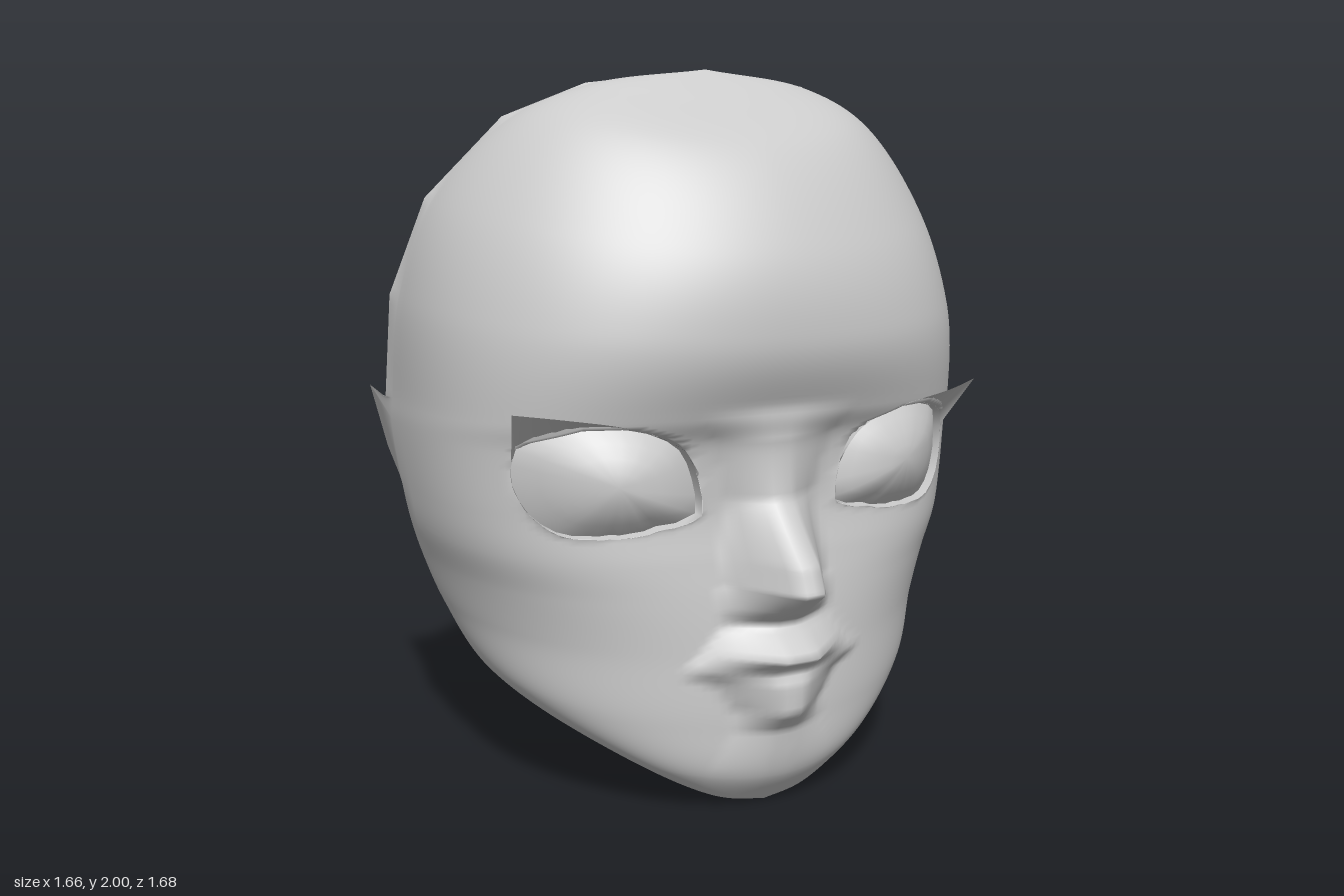
import * as THREE from 'three';
import { mergeVertices } from 'three/addons/utils/BufferGeometryUtils.js';

const V = (x, y, z) => new THREE.Vector3(x, y, z);
const material = new THREE.MeshStandardMaterial({ color: 0xcccccc, side: THREE.DoubleSide });

// Skin a list of cross-sections; keep(a,b,c) may drop triangles to leave a hole
function skin(name, rows, keep = () => true) {
  const n = rows[0].length, index = [];
  const pts = rows.flat();
  const tri = (a, b, c) => { if (keep(pts[a], pts[b], pts[c])) index.push(a, b, c); };
  for (let i = 0; i < rows.length - 1; i++) {
    for (let j = 0; j < n - 1; j++) {
      const a = i * n + j, b = a + 1, c = a + n, d = c + 1;
      tri(a, c, b);
      tri(b, c, d);
    }
  }
  let geo = new THREE.BufferGeometry().setFromPoints(pts);
  geo.setIndex(index);
  geo = mergeVertices(geo, 1e-4);
  geo.computeVertexNormals();
  const mesh = new THREE.Mesh(geo, material);
  mesh.name = name;
  return mesh;
}

// Piecewise linear lookup in rows of [key, value, value...], keys falling
function lookup(table, key, col) {
  for (let i = 0; i < table.length - 1; i++) {
    const a = table[i], b = table[i + 1];
    if (key <= a[0] && key >= b[0]) return a[col] + (b[col] - a[col]) * (a[0] - key) / (a[0] - b[0]);
  }
  return 0;
}

// Point under the skull where the lower facets meet
const pole = [0, 0.08, -0.42];

// Bands of the head: front [squareness, y, z], side point, back edge point
const bands = [
  [[1.9, 2.0, 0.2], [0, 2.0, 0.2], [0, 2.0, 0.2]],
  [[1.9, 1.91, 0.33], [0.335, 1.955, 0.16], [0.34, 1.96, 0.15]],
  [[1.9, 1.78, 0.52], [0.545, 1.86, 0.09], [0.55, 1.87, 0.06]],
  [[2.0, 1.53, 0.67], [0.735, 1.635, -0.01], [0.74, 1.65, -0.05]],
  [[2.3, 1.3, 0.71], [0.815, 1.37, -0.07], [0.825, 1.38, -0.13]],
  [[2.8, 1.1, 0.645], [0.825, 1.09, -0.13], [0.83, 1.08, -0.19]],
  [[3, 1.0, 0.6], [0.825, 1.02, -0.15], [0.82, 1.085, -0.4]],
  [[3, 0.85, 0.59], [0.81, 0.85, -0.12], [0.74, 0.87, -0.52]],
  [[2.8, 0.7, 0.61], [0.793, 0.74, -0.1], [0.57, 0.7, -0.68]],
  [[2.6, 0.6, 0.625], [0.76, 0.63, -0.1], [0.31, 0.6, -0.8]],
  [[2.3, 0.45, 0.64], [0.72, 0.5, -0.03], pole],
  [[2.1, 0.25, 0.65], [0.645, 0.34, 0.13], pole],
  [[2, 0.1, 0.64], [0.4, 0.16, 0.41], pole],
  [[2, 0.02, 0.59], [0.15, 0.03, 0.55], pole],
  [[2, 0, 0.575], [0, 0, 0.574], pole],
];

// Nose, lips and chin: height, forward push, half width
const relief = [
  [1.12, 0, 0.25], [1.03, 0.04, 0.18], [0.87, 0.07, 0.13], [0.72, 0.2, 0.14],
  [0.65, 0.22, 0.15], [0.58, 0.115, 0.17], [0.54, 0.05, 0.16], [0.465, 0.15, 0.22],
  [0.415, 0.07, 0.28], [0.385, 0.09, 0.19], [0.3, 0.085, 0.13], [0.24, 0.03, 0.14],
  [0.13, 0.015, 0.2], [0, 0, 0.2],
];

// Eye outline as radii at 16 even angles, starting at the outer side
const eyeX = 0.44, eyeY = 0.93;
const radii = [0.23, 0.24, 0.184, 0.157, 0.145, 0.15, 0.17, 0.205,
  0.225, 0.255, 0.175, 0.15, 0.14, 0.152, 0.184, 0.21];
function eyeRadius(angle) {
  const f = ((angle / (2 * Math.PI) + 2) % 1) * 16, i = Math.floor(f) % 16;
  return THREE.MathUtils.lerp(radii[i], radii[(i + 1) % 16], f - Math.floor(f));
}
function eyePoint(angle, scale = 1, dz = 0) {
  const r = eyeRadius(angle) * scale;
  const x = eyeX + r * Math.cos(angle), y = eyeY + r * Math.sin(angle);
  return V(x, y, 0.735 * Math.cbrt(1 - Math.pow(x / 0.815, 3)) - 0.14 + dz);
}

function buildHead() {
  const FRONT = 48, SIDE = 8, STEPS = 12;
  const last = bands.length - 1;
  const curve = col => new THREE.CatmullRomCurve3(bands.map(b => V(...b[col])));
  const frontCurve = curve(0), sideCurve = curve(1);
  const rows = [], inside = new Set();
  for (let i = 0; i <= last * STEPS; i++) {
    const t = i / (last * STEPS), k = Math.min(Math.floor(i / STEPS), last - 1);
    const F = frontCurve.getPoint(t), S = sideCurve.getPoint(t);
    const B = V(...bands[k][2]).lerp(V(...bands[k + 1][2]), i / STEPS - k);
    const row = [];
    for (let j = -FRONT - SIDE; j <= FRONT + SIDE; j++) {
      const m = Math.abs(j);
      let p;
      if (m <= FRONT) {
        // rounded front, with relief and eye openings
        const s = m === FRONT ? 1 : Math.sin(m / FRONT * Math.PI / 2);
        const g = Math.pow(1 - Math.pow(s, F.x), 1 / F.x);
        p = V(S.x * s, F.y + (S.y - F.y) * s * s, S.z + (F.z - S.z) * g);
        const half = lookup(relief, p.y, 2);
        if (p.x < half) p.z += lookup(relief, p.y, 1) * Math.min(1, (1 - p.x / half) * 1.25);
        const dx = p.x - eyeX, dy = p.y - eyeY, angle = Math.atan2(dy, dx);
        if (Math.hypot(dx, dy) < eyeRadius(angle)) {
          p.copy(eyePoint(angle));
          inside.add(p);
        }
      } else {
        p = S.clone().lerp(B, (m - FRONT) / SIDE);
      }
      p.x *= Math.sign(j);
      row.push(p);
    }
    rows.push(row);
  }
  return skin('headShell', rows, (a, b, c) => !(inside.has(a) && inside.has(b) && inside.has(c)));
}

function buildEye(side) {
  const group = new THREE.Group();
  group.name = side > 0 ? 'leftEye' : 'rightEye';
  const ring = (scale, dz) => Array.from({ length: 33 }, (_, i) => eyePoint(i / 32 * Math.PI * 2, scale, dz));
  const mirror = rows => rows.map(r => r.map(p => V(p.x * side, p.y, p.z)));

  // lid thickness folding inward
  group.add(skin('eyelid', mirror([ring(1, 0), ring(0.98, -0.04)])));

  // eyeball: gently domed front, back tapering to a point
  const dome = [0, 0.25, 0.5, 0.75, 1].map(s => ring(s, -0.035 + 0.07 * (1 - s * s)));
  group.add(skin('eyeballFront', mirror(dome)));
  const rim = ring(1, -0.035);
  group.add(skin('eyeballBack', mirror([rim, rim.map(() => V(0.42, 0.96, -0.03))])));

  // lash flaring up and outward from the upper lid
  const tip = new THREE.CatmullRomCurve3([V(0.705, 1.13, 0.53), V(0.57, 1.115, 0.595),
    V(0.42, 1.085, 0.6), V(0.28, 1.035, 0.605), V(0.215, 0.95, 0.595)]);
  const base = [], edge = [];
  for (let i = 0; i <= 16; i++) {
    base.push(eyePoint(0.22 + i / 16 * 2.88));
    edge.push(tip.getPoint(i / 16));
  }
  group.add(skin('eyelash', mirror([base, edge])));
  return group;
}

export function createModel() {
  const model = new THREE.Group();
  model.name = 'faceMask';
  model.add(buildHead(), buildEye(1), buildEye(-1));

  // two facets closing the back of the skull
  model.add(skin('nape', [
    [V(-0.31, 0.6, -0.8), V(0, 0.55, -0.84), V(0.31, 0.6, -0.8)],
    [V(...pole), V(...pole), V(...pole)],
  ]));

  // pocket behind the lips
  const lip = [-0.25, -0.12, 0, 0.12, 0.25];
  model.add(skin('mouthPocket', [
    lip.map(x => V(x, 0.42, 0.68 - 1.4 * x * x)),
    lip.map(x => V(x * 0.75, 0.39, 0.42)),
  ]));
  return model;
}
